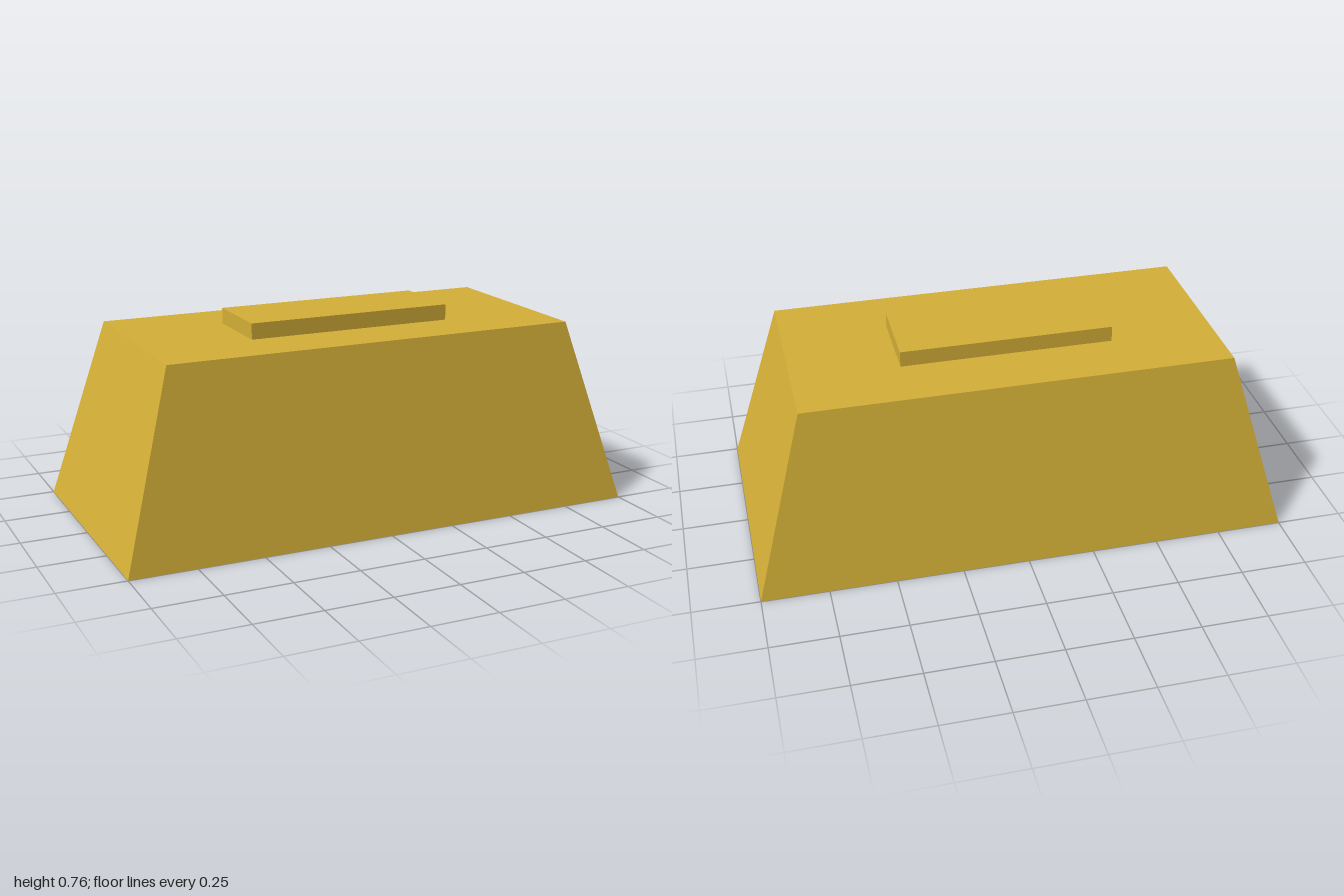
import * as THREE from 'three';

// Box standing on y, with its top corners pulled in towards the centre
function taperedBox(width, height, depth, topX = 1, topZ = 1) {
  const geometry = new THREE.BoxGeometry(width, height, depth);
  const pos = geometry.attributes.position;
  for (let i = 0; i < pos.count; i++) {
    if (pos.getY(i) > 0) {
      pos.setX(i, pos.getX(i) * topX);
      pos.setZ(i, pos.getZ(i) * topZ);
    }
  }
  geometry.translate(0, height / 2, 0);
  geometry.computeVertexNormals();
  return geometry;
}

export function createModel() {
  const group = new THREE.Group();
  group.name = 'ingot';

  const gold = new THREE.MeshStandardMaterial({ color: 0xd4af37 });
  gold.name = 'gold';

  // Sloped bar
  const bar = new THREE.Mesh(taperedBox(2, 0.7, 1, 0.8, 0.75), gold);
  bar.name = 'bar';

  // Raised stamp plate on the top face
  const stamp = new THREE.Mesh(taperedBox(0.8, 0.06, 0.3), gold);
  stamp.name = 'stampPlate';
  stamp.position.y = 0.7;

  group.add(bar, stamp);
  return group;
}
